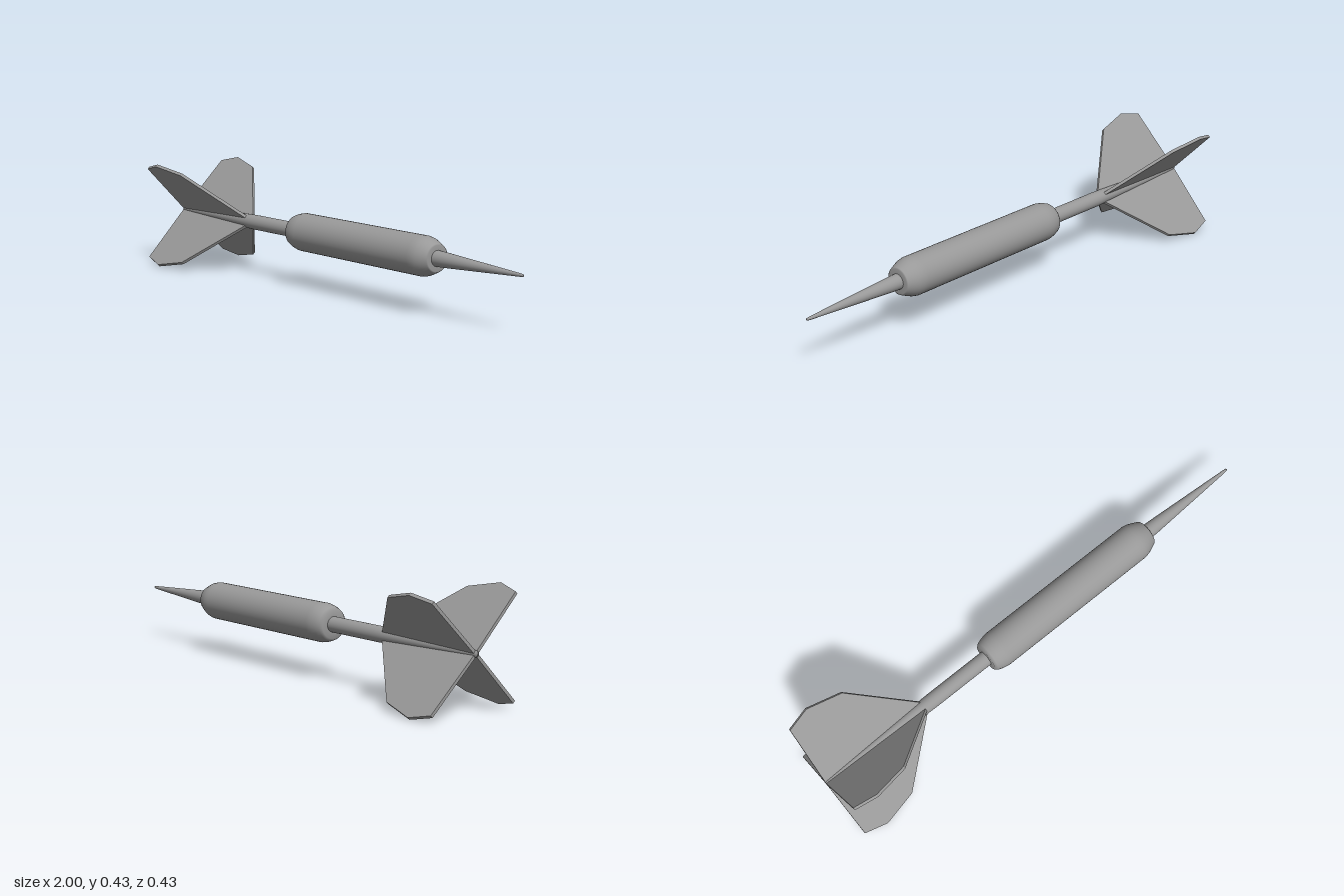
import * as THREE from 'three';

const AXIS_Y = 0.215;

export function createModel() {
  const model = new THREE.Group();
  const metal = new THREE.MeshStandardMaterial({ color: 0x999999 });
  metal.name = 'grey metal';

  // Everything is built around the x axis, then lifted to stand on the ground
  const dart = new THREE.Group();
  dart.name = 'dart';
  dart.position.y = AXIS_Y;
  model.add(dart);

  // Turned part: profile of [x, radius] pairs, spun about the x axis
  function turned(name, profile) {
    const points = profile.map(([x, r]) => new THREE.Vector2(r, x));
    const mesh = new THREE.Mesh(new THREE.LatheGeometry(points, 40), metal);
    mesh.name = name;
    mesh.rotation.z = -Math.PI / 2;
    dart.add(mesh);
  }

  turned('barrel', [
    [-0.235, 0], [-0.235, 0.03], [-0.235, 0.054], [-0.225, 0.063], [-0.205, 0.07], [-0.18, 0.075],
    [-0.16, 0.075], [0.49, 0.075], [0.51, 0.075], [0.53, 0.071], [0.548, 0.064],
    [0.572, 0.053], [0.575, 0.048], [0.575, 0.03], [0.575, 0],
  ]);
  turned('shaft', [[-1, 0], [-1, 0.012], [-0.54, 0.029], [-0.5, 0.03], [-0.23, 0.03]]);
  turned('point', [[0.57, 0.03], [0.62, 0.028], [0.985, 0.006], [0.997, 0.004], [1, 0]]);

  // Four flight fins set diagonally around the tail
  const outline = new THREE.Shape([
    [-1, 0], [-0.992, 0.27], [-0.9, 0.298], [-0.76, 0.261], [-0.54, 0.028], [-0.52, 0],
  ].map(([x, r]) => new THREE.Vector2(x, r)));
  const thickness = 0.012;
  const finGeometry = new THREE.ExtrudeGeometry(outline, { depth: thickness, bevelEnabled: false });
  finGeometry.translate(0, 0, -thickness / 2);
  for (let i = 0; i < 4; i++) {
    const fin = new THREE.Mesh(finGeometry, metal);
    fin.name = 'flightFin' + (i + 1);
    fin.rotation.x = Math.PI / 4 + i * Math.PI / 2;
    dart.add(fin);
  }

  return model;
}
